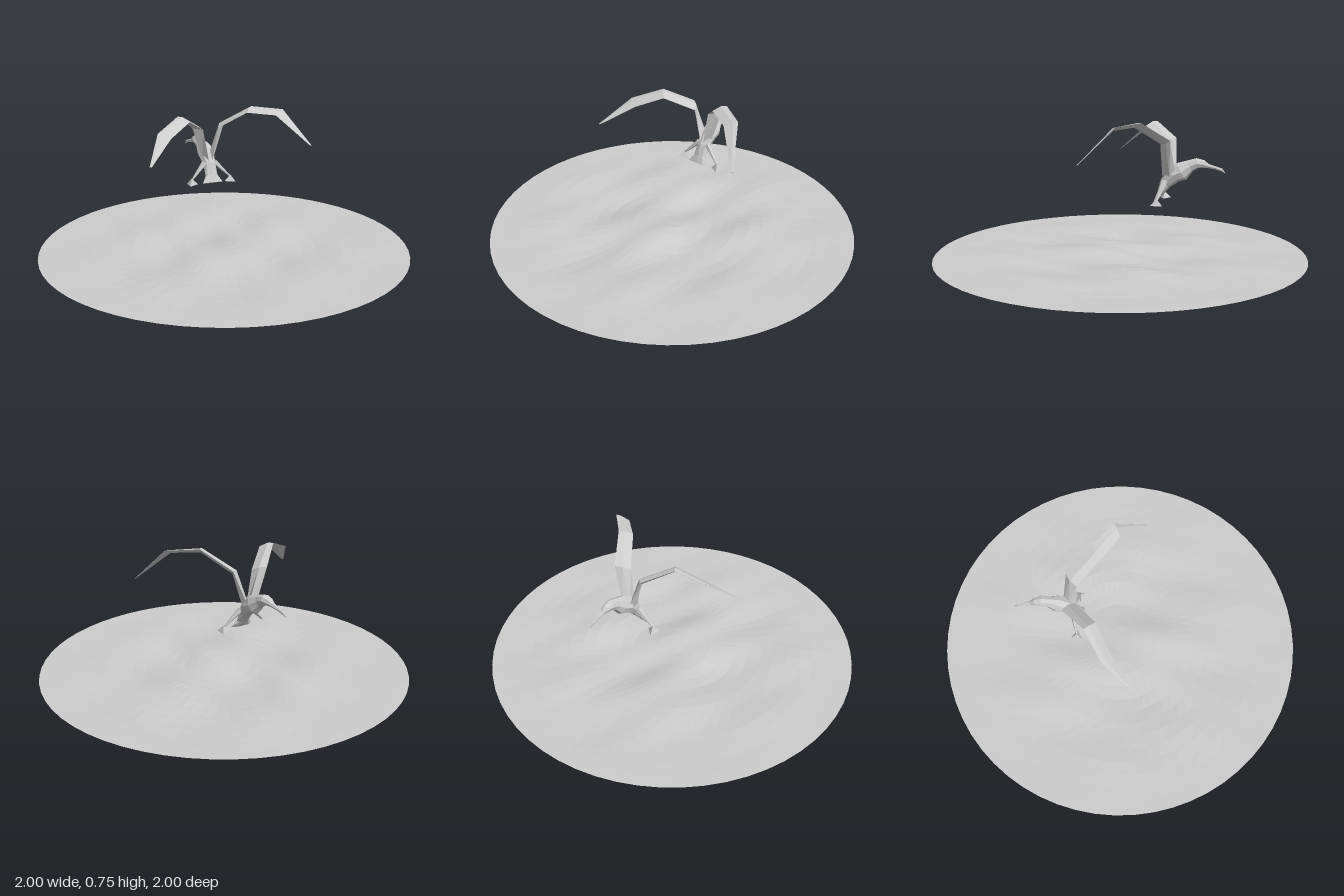
import * as THREE from 'three';

const grey = new THREE.MeshStandardMaterial({ color: 0xcccccc, flatShading: true, side: THREE.DoubleSide });
grey.name = 'pale grey';
const V = (x, y, z) => new THREE.Vector3(x, y, z);

function mesh(geometry, name) {
  const m = new THREE.Mesh(geometry, grey);
  m.name = name;
  return m;
}

// Closed skin over rings that run counter-clockwise around the direction of travel
function loft(rings) {
  const n = rings[0].length, last = rings.length - 1;
  const points = rings.flat(), index = [];
  for (let i = 0; i < last; i++) {
    for (let j = 0; j < n; j++) {
      const k = (j + 1) % n;
      const a = i * n + j, b = i * n + k, c = b + n, d = a + n;
      index.push(a, b, c, a, c, d);
    }
  }
  for (let j = 1; j < n - 1; j++) {
    index.push(0, j + 1, j, last * n, last * n + j, last * n + j + 1);
  }
  const g = new THREE.BufferGeometry().setFromPoints(points);
  g.setIndex(index);
  g.computeVertexNormals();
  return g;
}

// Rings square to a path; each station is [x, y, z, half width, half height]
function tubeOfStations(stations, sides) {
  const at = i => V(...stations[i].slice(0, 3));
  return loft(stations.map(([x, y, z, w, h], i) => {
    const t = at(Math.min(i + 1, stations.length - 1)).sub(at(Math.max(i - 1, 0))).normalize();
    const across = V(0, 1, 0).cross(t).normalize();
    const up = t.clone().cross(across);
    return Array.from({ length: sides }, (_, j) => {
      const a = (j / sides) * Math.PI * 2;
      return V(x, y, z).addScaledVector(across, w * Math.cos(a)).addScaledVector(up, h * Math.sin(a));
    });
  }));
}

// Wing stations: leading x, z, trailing x, z, half thickness
const wingPlan = [
  [0.025, 0.305, 0.01, 0.235, 0.018],
  [0.098, 0.288, 0.045, 0.228, 0.014],
  [0.215, 0.163, 0.166, 0.108, 0.011],
  [0.36, 0.064, 0.3, 0.025, 0.009],
  [0.458, -0.1, 0.448, -0.105, 0.002],
];

function wing(side, heights) {
  const mid = i => [(wingPlan[i][0] + wingPlan[i][2]) / 2, heights[i]];
  return loft(wingPlan.map(([lx, lz, tx, tz, h], i) => {
    const [x0, y0] = mid(Math.max(i - 1, 0)), [x1, y1] = mid(Math.min(i + 1, 4));
    const len = Math.hypot(x1 - x0, y1 - y0);
    const nx = -(y1 - y0) / len * h, ny = (x1 - x0) / len * h;
    const y = heights[i], lift = i < 4 ? 0.012 : 0;
    const mx = lx * 0.6 + tx * 0.4, mz = lz * 0.6 + tz * 0.4;
    const ring = [
      V(mx + nx, y + ny, mz), V(lx, y + lift, lz),
      V(mx - nx, y - ny, mz), V(tx, y - lift, tz),
    ];
    ring.forEach(p => { p.x *= side; });
    return side > 0 ? ring : ring.reverse();
  }));
}

function createBird() {
  const bird = new THREE.Group();
  bird.name = 'bird';

  // Body runs from the spread tail up through the chest to the head
  bird.add(mesh(tubeOfStations([
    [0, 0.333, 0.2, 0.06, 0.008],
    [0, 0.37, 0.22, 0.036, 0.016],
    [0, 0.425, 0.25, 0.036, 0.032],
    [0, 0.475, 0.295, 0.045, 0.046],
    [0, 0.492, 0.335, 0.043, 0.05],
    [0.005, 0.52, 0.375, 0.029, 0.033],
    [0.01, 0.536, 0.415, 0.029, 0.027],
    [0.015, 0.532, 0.445, 0.022, 0.021],
    [0.02, 0.522, 0.468, 0.011, 0.012],
  ], 8), 'body'));

  // Beak with a drooping tip
  bird.add(mesh(tubeOfStations([
    [0.018, 0.524, 0.46, 0.013, 0.013],
    [0.026, 0.513, 0.505, 0.008, 0.009],
    [0.032, 0.502, 0.54, 0.006, 0.009],
    [0.035, 0.486, 0.557, 0.001, 0.002],
  ], 6), 'beak'));

  // Raised wings, caught at slightly different points of the beat
  bird.add(mesh(wing(1, [0.465, 0.645, 0.722, 0.66, 0.543]), 'leftWing'));
  bird.add(mesh(wing(-1, [0.465, 0.65, 0.748, 0.738, 0.572]), 'rightWing'));

  // Dangling legs and webbed feet
  for (const side of [1, -1]) {
    const label = side > 0 ? 'left' : 'right';
    const top = V(side * 0.03, 0.44, 0.25), ankle = V(side * 0.112, 0.356, 0.226);
    const leg = mesh(new THREE.CylinderGeometry(0.016, 0.005, top.distanceTo(ankle), 5), label + 'Leg');
    leg.position.copy(top).add(ankle).multiplyScalar(0.5);
    leg.quaternion.setFromUnitVectors(V(0, 1, 0), top.clone().sub(ankle).normalize());
    const foot = mesh(new THREE.ConeGeometry(0.037, 0.036, 3), label + 'Foot');
    foot.position.set(side * 0.117, 0.344, 0.225);
    foot.rotation.y = side * 0.5;
    bird.add(leg, foot);
  }

  bird.rotation.y = -Math.PI * 0.75;
  bird.position.set(0.01, 0, -0.01);
  return bird;
}

// Round sheet of faceted ripples that flatten toward the rim
function createWater() {
  const g = new THREE.RingGeometry(0.001, 1, 60, 14);
  g.rotateX(-Math.PI / 2);
  const p = g.attributes.position;
  for (let i = 0; i < p.count; i++) {
    const x = p.getX(i), z = p.getZ(i);
    const fade = Math.min(1, 1.25 * (1 - Math.hypot(x, z)));
    const ripple = 0.5 * Math.sin(11 * x + 2 * z + 0.6) + 0.5 * Math.sin(10 * z - 3 * x + 0.4)
      + 0.25 * Math.sin(19 * x - 14 * z);
    p.setY(i, 0.029 + 0.023 * fade * ripple);
  }
  g.computeVertexNormals();
  return mesh(g, 'water');
}

export function createModel() {
  const model = new THREE.Group();
  model.name = 'birdOverWater';
  model.add(createWater(), createBird());
  return model;
}
